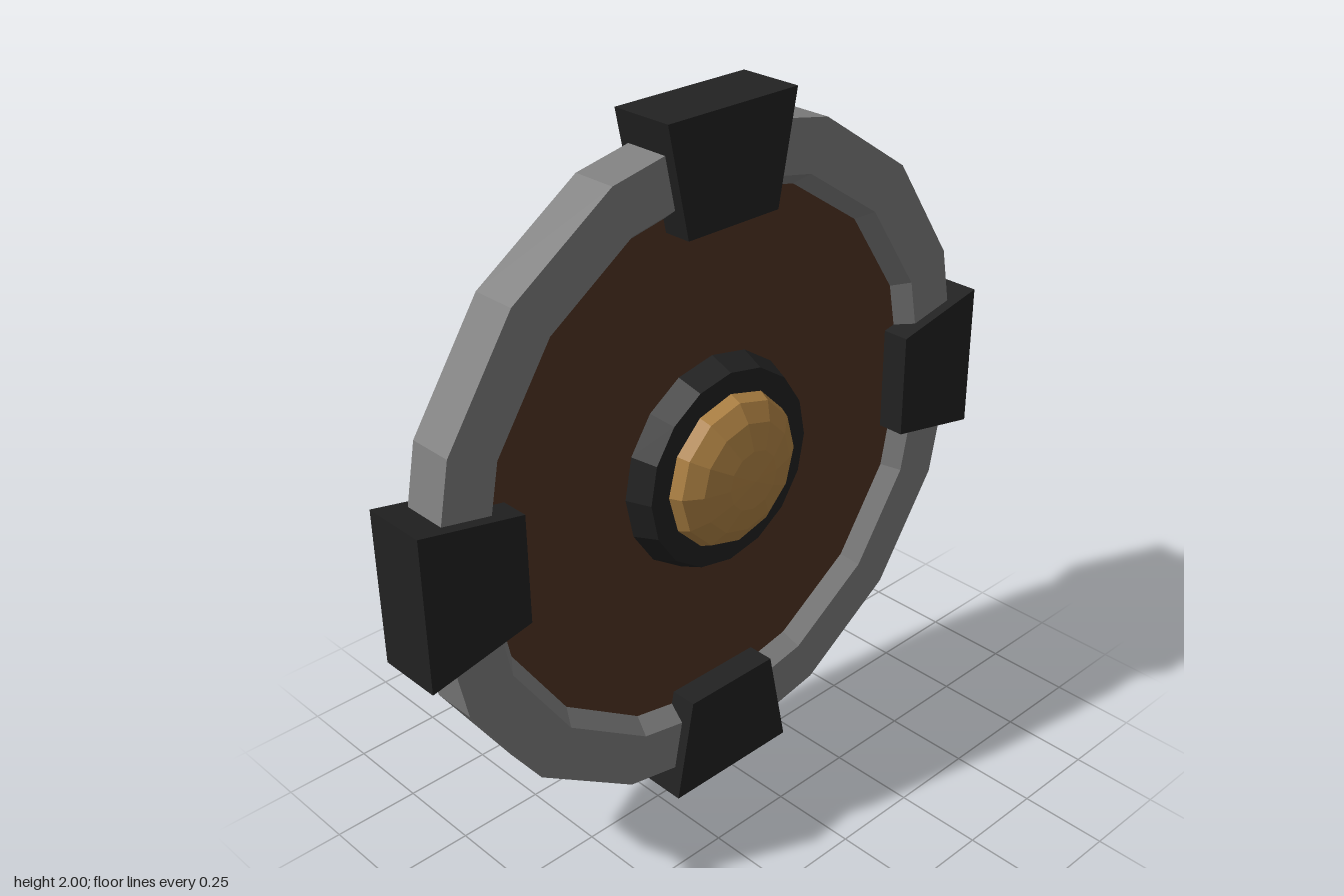
import * as THREE from 'three';

const makeMaterial = (name, color) => {
  const m = new THREE.MeshStandardMaterial({ color, flatShading: true });
  m.name = name;
  return m;
};

export function createModel() {
  const steel = makeMaterial('steel grey', 0x808080);
  const wood = makeMaterial('dark brown wood', 0x523423);
  const iron = makeMaterial('black iron', 0x222222);
  const gold = makeMaterial('gold', 0xb38545);

  const shield = new THREE.Group();
  shield.name = 'shield';
  const add = (name, geometry, material) => {
    const mesh = new THREE.Mesh(geometry, material);
    mesh.name = name;
    mesh.position.y = 1;
    shield.add(mesh);
    return mesh;
  };

  // Sixteen-sided turned form whose axis points forward; profile is [radius, z]
  const turned = (profile) =>
    new THREE.LatheGeometry(profile.map(([r, z]) => new THREE.Vector2(r, z)), 16).rotateX(Math.PI / 2);

  // Rim with closed back and sloping inner lip
  add('rim', turned([[0, -0.11], [0.953, -0.11], [0.953, 0.02], [0.803, 0.02], [0.762, -0.034]]), steel);

  // Recessed wooden face
  add('face', new THREE.CircleGeometry(0.77, 16).translate(0, 0, -0.03), wood);

  // Central collar and domed boss
  add('bossCollar', turned([[0.312, -0.03], [0.285, 0.04], [0.18, 0.04]]), iron);
  const dome = new THREE.SphereGeometry(1, 12, 4, 0, Math.PI * 2, 0, Math.PI / 2);
  dome.rotateX(Math.PI / 2).scale(0.226, 0.226, 0.1).translate(0, 0, 0.035);
  add('boss', dome, gold);

  // Four tapered clamps gripping the rim
  const outline = new THREE.Shape([
    new THREE.Vector2(-0.155, 0.695),
    new THREE.Vector2(0.155, 0.695),
    new THREE.Vector2(0.217, 1),
    new THREE.Vector2(-0.217, 1),
  ]);
  const clamp = new THREE.ExtrudeGeometry(outline, { depth: 0.187, bevelEnabled: false });
  clamp.translate(0, 0, -0.136);
  ['topClamp', 'leftClamp', 'bottomClamp', 'rightClamp'].forEach((name, i) => {
    add(name, clamp, iron).rotation.z = -i * Math.PI / 2;
  });

  return shield;
}
